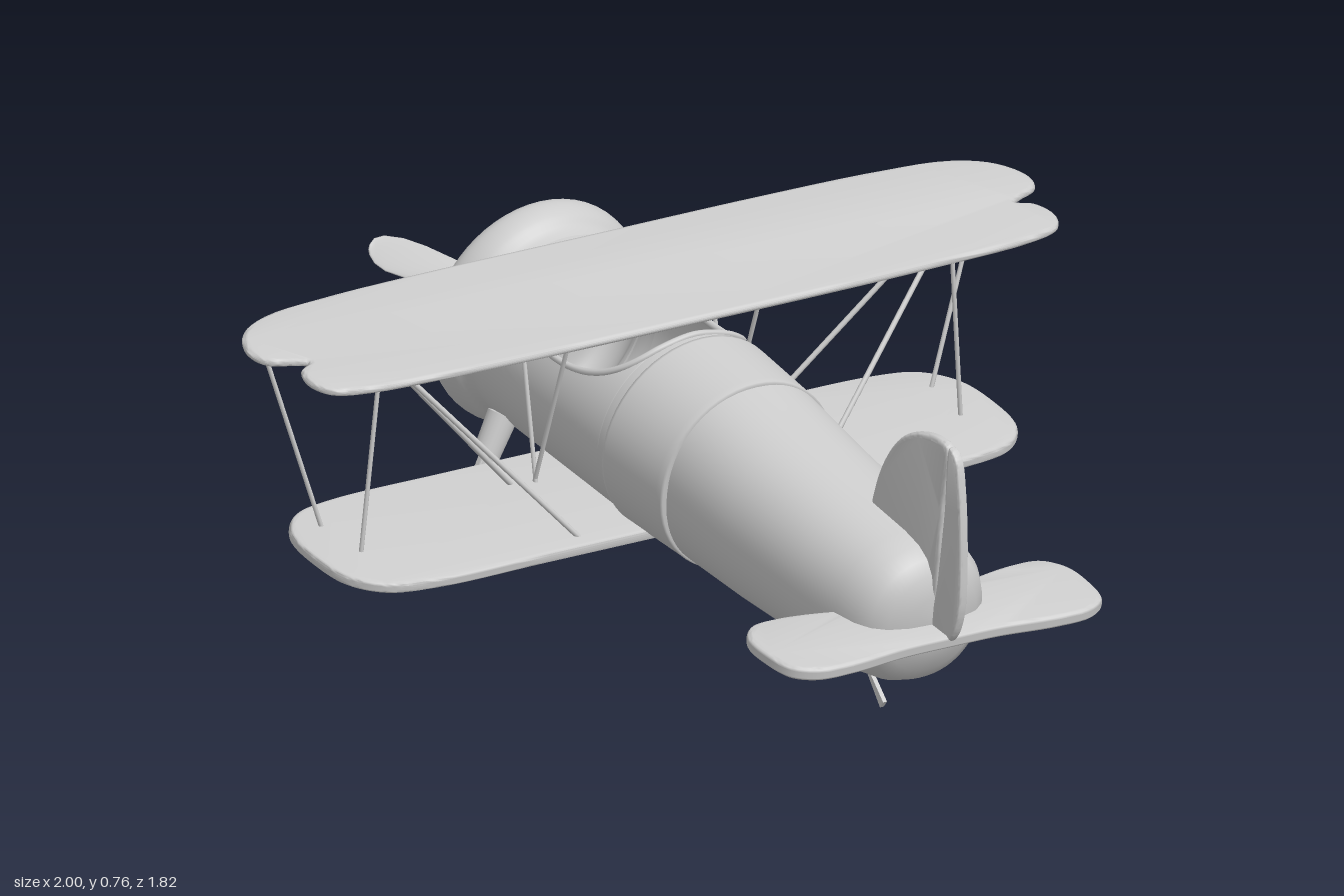
import * as THREE from 'three';
import { toCreasedNormals } from 'three/addons/utils/BufferGeometryUtils.js';

const mat = new THREE.MeshStandardMaterial({ color: 0xcccccc, side: THREE.DoubleSide });
const V = (x, y, z) => new THREE.Vector3(x, y, z);

function add(parent, name, geo) {
  const mesh = new THREE.Mesh(geo, mat);
  mesh.name = name;
  parent.add(mesh);
  return mesh;
}

// Skin over rows of points; closed rows wrap round
function loft(rows, closed) {
  const n = rows[0].length, idx = [];
  for (let i = 0; i < rows.length - 1; i++)
    for (let j = 0; j < (closed ? n : n - 1); j++) {
      const a = i * n + j, b = i * n + (j + 1) % n;
      idx.push(a, b, a + n, b, b + n, a + n);
    }
  const geo = new THREE.BufferGeometry().setFromPoints(rows.flat());
  geo.setIndex(idx);
  geo.computeVertexNormals();
  return geo;
}

// Solid of revolution along z, profile given as [z, radius]
function turned(profile, y = -0.011, segs = 56) {
  const geo = new THREE.LatheGeometry(profile.map(([z, r]) => new THREE.Vector2(r, z)), segs);
  return geo.rotateX(Math.PI / 2).translate(0, y, 0);
}

// Rounded slab from a smooth closed outline
function slab(points, thickness, bevel = 0.012) {
  const curve = new THREE.CatmullRomCurve3(points.map(([x, y]) => V(x, y, 0)), true, 'centripetal');
  const outline = curve.getPoints(140).slice(0, -1).map(p => new THREE.Vector2(p.x, p.y));
  const round = thickness * 0.42, depth = thickness - 2 * round;
  const geo = new THREE.ExtrudeGeometry(new THREE.Shape(outline), {
    depth, bevelThickness: round, bevelSize: bevel, bevelOffset: -bevel, bevelSegments: 4
  });
  return toCreasedNormals(geo.translate(0, 0, -depth / 2), 0.9);
}

// Horizontal surface: half outline [x, z] mirrored across x = 0
function wing(half, y, thickness) {
  const mirrored = half.slice(1, -1).reverse().map(([x, z]) => [-x, z]);
  return slab([...half, ...mirrored], thickness).rotateX(Math.PI / 2).translate(0, y, 0);
}

function rod(a, b, r0, r1 = r0, segs = 10) {
  const dir = b.clone().sub(a);
  const geo = new THREE.CylinderGeometry(r1, r0, dir.length(), segs);
  geo.applyQuaternion(new THREE.Quaternion().setFromUnitVectors(V(0, 1, 0), dir.normalize()));
  return geo.translate(...a.clone().add(b).multiplyScalar(0.5).toArray());
}

function fuselage(body) {
  // Rear body: [z, top, bottom, half width]
  const stations = [
    [0.07, 0.204, -0.224, 0.206], [0.28, 0.18, -0.219, 0.197], [0.54, 0.159, -0.204, 0.185],
    [0.68, 0.152, -0.192, 0.174], [0.735, 0.143, -0.18, 0.162], [0.77, 0.126, -0.162, 0.143],
    [0.793, 0.097, -0.13, 0.113], [0.807, 0.05, -0.08, 0.065], [0.811, -0.015, -0.015, 0.001]
  ];
  const rows = stations.map(([z, top, bottom, w]) => Array.from({ length: 56 }, (_, j) => {
    const a = j / 56 * Math.PI * 2, s = Math.sin(a), c = Math.cos(a);
    const p = v => Math.sign(v) * Math.abs(v) ** 0.92;
    return V(w * p(s), (top + bottom) / 2 + (top - bottom) / 2 * p(c), z);
  }));
  add(body, 'rearFuselage', loft(rows, true));

  // Overlapping sleeve between the rear body and the cockpit
  add(body, 'fuselageSleeve', turned([[0.08, 0.2], [0.083, 0.217], [0.078, 0.221], [0.06, 0.221],
    [-0.125, 0.229], [-0.132, 0.229], [-0.135, 0.22]]));

  // Front body with an oval cockpit cut out of its top
  const R = 0.222, cy = -0.011, mid = -0.385, half = 0.225;
  const zs = [-0.65, -0.63];
  for (let i = 0; i <= 40; i++) zs.push(mid - half * Math.cos(i / 40 * Math.PI));
  zs.push(-0.13);
  const cutAngle = z => {
    const t = (z - mid) / half;
    if (Math.abs(t) >= 1) return 0;
    return Math.acos(THREE.MathUtils.clamp((R - 0.12 * Math.sqrt(1 - t * t)) / R, -1, 1));
  };
  const at = (a, z, r = R) => V(r * Math.sin(a), cy + r * Math.cos(a), z);
  add(body, 'cockpitFuselage', loft(zs.map(z => {
    const a = cutAngle(z);
    return Array.from({ length: 57 }, (_, j) => at(a + (2 * Math.PI - 2 * a) * j / 56, z));
  }), false));

  // Padded rim around the cockpit
  const rim = Array.from({ length: 48 }, (_, i) => {
    const t = i / 48 * Math.PI * 2, z = mid - half * Math.cos(t);
    return at(cutAngle(z) * (Math.sin(t) >= 0 ? 1 : -1), z);
  });
  add(body, 'cockpitRim', new THREE.TubeGeometry(new THREE.CatmullRomCurve3(rim, true), 120, 0.008, 8, true));

  // Flared engine cowling with a stepped nose
  const cowl = new THREE.SplineCurve([[-0.59, 0.216], [-0.63, 0.219], [-0.665, 0.229], [-0.69, 0.248],
    [-0.72, 0.258], [-0.75, 0.256], [-0.772, 0.238], [-0.783, 0.2], [-0.788, 0.15], [-0.79, 0.09]]
    .map(([z, r]) => new THREE.Vector2(z, r)));
  add(body, 'engineCowling', turned(cowl.getPoints(40).map(p => [p.x, p.y])));
  add(body, 'nosePlate', turned([[-0.78, 0.108], [-0.81, 0.106], [-0.82, 0.095], [-0.823, 0.06], [-0.823, 0]]));
}

function propeller(body) {
  const prop = new THREE.Group();
  prop.name = 'propeller';
  prop.position.set(0, -0.008, -0.87);
  add(prop, 'propellerHub', turned([[0.06, 0.035], [0.035, 0.04], [0.02, 0.048], [-0.015, 0.05],
    [-0.032, 0.045], [-0.042, 0.028], [-0.044, 0]], 0, 28));
  // Twisted blade: [distance, half chord]
  const sections = [[0.03, 0.013], [0.08, 0.018], [0.14, 0.03], [0.21, 0.042], [0.28, 0.046],
    [0.34, 0.04], [0.37, 0.028], [0.383, 0.013], [0.386, 0.001]];
  const rows = sections.map(([d, w]) => {
    const twist = 1.0 - d * 0.9;
    return Array.from({ length: 20 }, (_, j) => {
      const a = j / 20 * Math.PI * 2, u = w * Math.cos(a), v = Math.min(w, 0.012 - d * 0.02) * Math.sin(a);
      return V(d, u * Math.cos(twist) - v * Math.sin(twist), u * Math.sin(twist) + v * Math.cos(twist));
    });
  });
  const blade = loft(rows, true);
  for (const turn of [0, Math.PI]) add(prop, 'propellerBlade', blade).rotation.z = turn - 0.41;
  body.add(prop);
}

export function createModel() {
  const model = new THREE.Group();
  model.name = 'biplane';

  // Nose-up body frame
  const body = new THREE.Group();
  body.name = 'body';
  body.position.y = 0.4;
  body.rotation.x = 0.165;
  model.add(body);
  fuselage(body);
  propeller(body);

  // Wings and tailplane
  add(body, 'upperWing', wing([[0, -0.54], [0.4, -0.54], [0.7, -0.532], [0.88, -0.51], [0.965, -0.46],
    [1, -0.385], [0.985, -0.335], [0.935, -0.312], [0.905, -0.295], [0.94, -0.272], [0.955, -0.215],
    [0.93, -0.165], [0.85, -0.14], [0.6, -0.127], [0.3, -0.122], [0, -0.122]], 0.266, 0.018));
  add(body, 'lowerWing', wing([[0, -0.46], [0.4, -0.46], [0.7, -0.455], [0.8, -0.43], [0.86, -0.36],
    [0.875, -0.25], [0.86, -0.14], [0.8, -0.075], [0.68, -0.05], [0.4, -0.05], [0, -0.05]], -0.19, 0.026));
  add(body, 'tailplane', wing([[0, 0.68], [0.12, 0.68], [0.2, 0.66], [0.3, 0.645], [0.37, 0.652],
    [0.41, 0.7], [0.416, 0.77], [0.4, 0.85], [0.35, 0.885], [0.26, 0.89], [0.12, 0.876], [0, 0.875]], -0.027, 0.03));

  // Fin and rudder, outlined in [z, y]
  const fin = [[0.56, 0.42], [0.575, 0.5], [0.62, 0.585], [0.68, 0.645], [0.75, 0.675], [0.82, 0.682],
    [0.855, 0.67], [0.835, 0.52], [0.8, 0.3], [0.76, 0.26], [0.66, 0.3]];
  const rudder = [[0.858, 0.672], [0.885, 0.652], [0.9, 0.58], [0.906, 0.42], [0.895, 0.3], [0.865, 0.24],
    [0.82, 0.218], [0.79, 0.24], [0.812, 0.36], [0.838, 0.52]];
  add(model, 'tailFin', slab(fin, 0.024).rotateY(-Math.PI / 2));
  add(model, 'rudder', slab(rudder, 0.022, 0.009).rotateY(-Math.PI / 2));

  for (const s of [1, -1]) {
    // Struts between the wings: [from, to, radius]
    const struts = [
      [[0.93, 0.735, -0.4], [0.78, 0.272, -0.38], 0.005],
      [[0.73, 0.71, -0.23], [0.77, 0.25, -0.25], 0.005],
      [[0.73, 0.71, -0.24], [0.29, 0.23, -0.12], 0.006],
      [[0.73, 0.715, -0.26], [0.29, 0.272, -0.38], 0.006],
      [[0.245, 0.74, -0.44], [0.245, 0.27, -0.36], 0.005],
      [[0.245, 0.705, -0.21], [0.245, 0.27, -0.37], 0.005]
    ];
    for (const [a, b, r] of struts) add(model, 'wingStrut', rod(V(a[0] * s, a[1], a[2]), V(b[0] * s, b[1], b[2]), r));

    // Landing leg: socket on the hull and a flat flared blade
    const z = -0.605;
    add(model, 'legSocket', rod(V(0.165 * s, 0.345, z), V(0.208 * s, 0.262, z), 0.034, 0.03, 20));
    const leg = new THREE.Shape([[0.178, 0.285], [0.202, 0.298], [0.283, 0.132], [0.24, 0.09]]
      .map(([x, y]) => new THREE.Vector2(x * s, y)));
    add(model, 'landingLeg', new THREE.ExtrudeGeometry(leg, {
      depth: 0.01, bevelThickness: 0.004, bevelSize: 0.003, bevelSegments: 2
    }).translate(0, 0, z - 0.005));
  }

  // Tail skid
  const skid = new THREE.Shape([[0.505, 0.1], [0.525, 0.09], [0.59, 0.005], [0.602, 0.02], [0.53, 0.095]]
    .map(([z, y]) => new THREE.Vector2(z, y)));
  add(model, 'tailSkid', new THREE.ExtrudeGeometry(skid, { depth: 0.01, bevelEnabled: false })
    .translate(0, 0, -0.005).rotateY(-Math.PI / 2));
  add(model, 'skidMount', new THREE.SphereGeometry(0.013, 16, 12)).position.set(0, 0.095, 0.52);
  return model;
}
